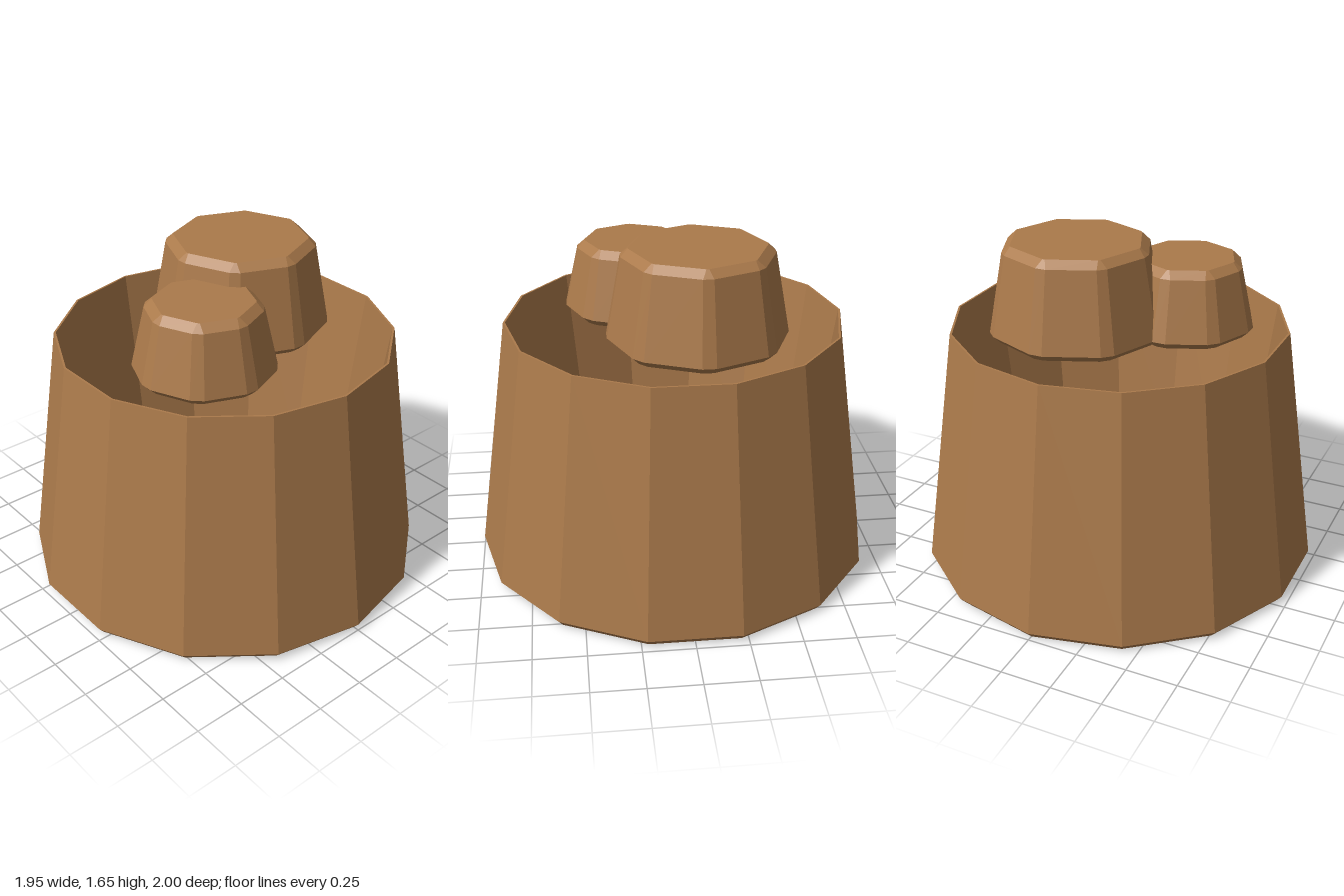
import * as THREE from 'three';

const brown = new THREE.MeshStandardMaterial({ color: 0xab7a4b, flatShading: true });
brown.name = 'clay brown';

// Eight-sided tapered block whose upright corners are cut by a narrow flat.
// Each ring is [radius at the corner flats, half width of a flat, height].
function cutOctagonBlock(rings) {
  const positions = [], index = [], n = 16;
  for (const [r, half, y] of rings) {
    for (let k = 0; k < 8; k++) {
      const a = (k * Math.PI) / 4;
      for (const s of [-half, half]) {
        positions.push(r * Math.sin(a) + s * Math.cos(a), y, r * Math.cos(a) - s * Math.sin(a));
      }
    }
  }
  for (let j = 0; j < rings.length - 1; j++) {
    for (let i = 0; i < n; i++) {
      const a = j * n + i, b = j * n + ((i + 1) % n);
      index.push(a, b, b + n, a, b + n, a + n);
    }
  }
  // bottom and top caps
  const last = (rings.length - 1) * n;
  for (let i = 1; i < n - 1; i++) {
    index.push(0, i + 1, i);
    index.push(last, last + i, last + i + 1);
  }
  const g = new THREE.BufferGeometry();
  g.setAttribute('position', new THREE.Float32BufferAttribute(positions, 3));
  g.setIndex(index);
  g.computeVertexNormals();
  return g;
}

function makeBlock(name, x, z, rBase, rShoulder, top) {
  const mesh = new THREE.Mesh(cutOctagonBlock([
    [rBase - 0.035, 0.025, 1.19],
    [rBase, 0.033, 1.225],
    [rShoulder, 0.025, top - 0.035],
    [rShoulder - 0.035, 0.006, top],
  ]), brown);
  mesh.name = name;
  mesh.position.set(x, 0, z);
  return mesh;
}

export function createModel() {
  const group = new THREE.Group();
  group.name = 'tub';

  // Fourteen-sided hollow tub: chamfered foot, thin rim, tapered inside and floor
  const profile = [
    [0, 0], [0.97, 0], [1, 0.035], [0.83, 1.24],
    [0.82, 1.24], [0.68, 0.225], [0.64, 0.19], [0, 0.19],
  ].map(([r, y]) => new THREE.Vector2(r, y));
  const tub = new THREE.Mesh(new THREE.LatheGeometry(profile, 14), brown);
  tub.name = 'tubBody';
  group.add(tub);

  // Two blocks held at the mouth of the tub
  group.add(makeBlock('largeBlock', 0.18, -0.095, 0.435, 0.363, 1.655));
  group.add(makeBlock('smallBlock', -0.275, 0.18, 0.338, 0.272, 1.555));
  return group;
}
